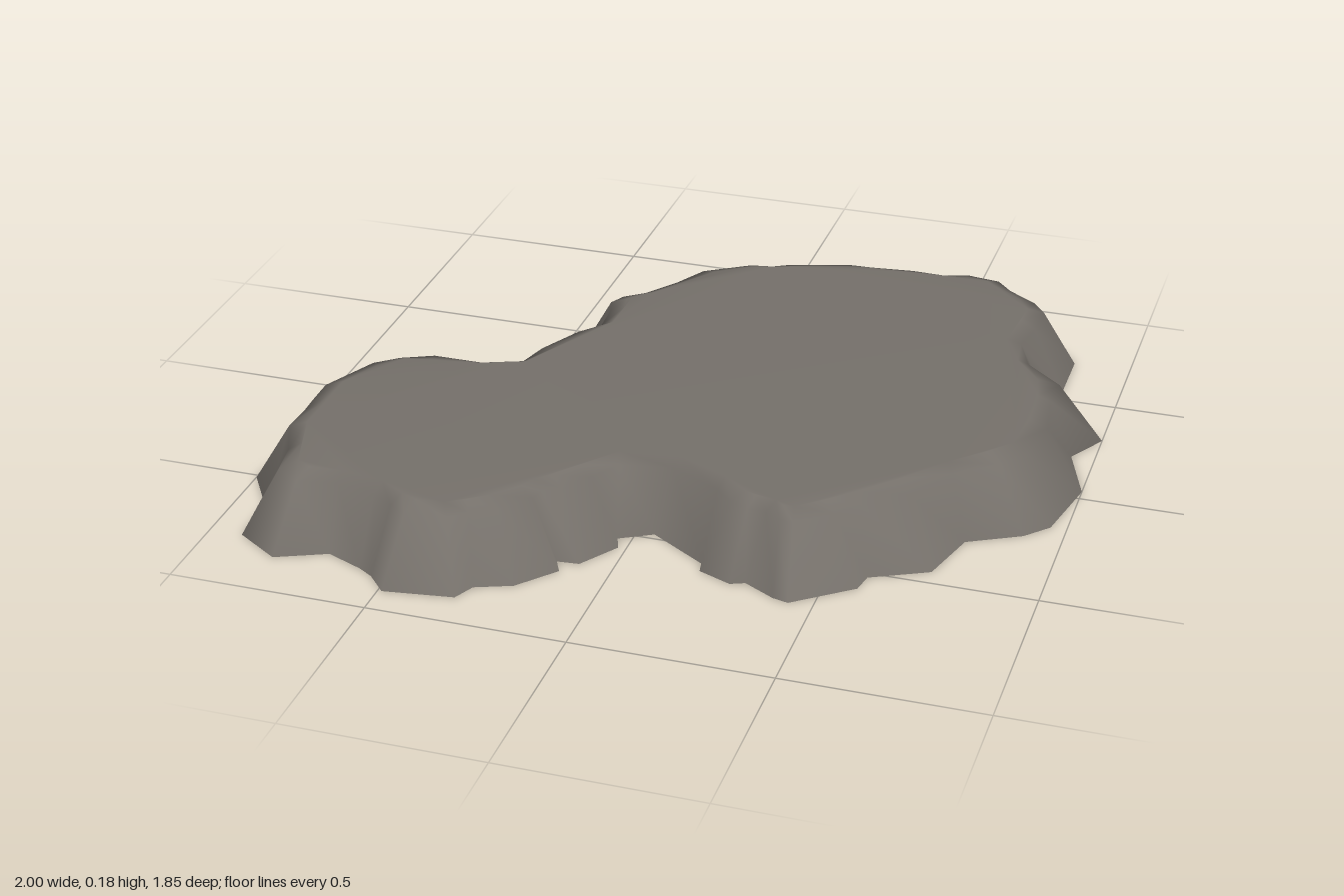
import * as THREE from 'three';

// Ground outline as x, z pairs, clockwise seen from above
const OUTLINE = [
  -1, .29, -.89, .05, -.83, .03, -.72, -.05, -.57, -.02, -.5, -.05, -.535, -.09,
  -.45, -.255, -.405, -.255, -.42, -.345, -.45, -.39, -.405, -.485, -.355, -.5,
  -.28, -.6, -.26, -.7, -.085, -.805, -.03, -.795, -.005, -.825, .065, -.84,
  .2, -.89, .235, -.875, .375, -.905, .465, -.88, .51, -.925, .665, -.9,
  .68, -.84, .81, -.76, .85, -.715, .85, -.54, .815, -.5, .83, -.4,
  1, -.31, .94, -.205, 1, -.035, .96, .16, .905, .22, .775, .29,
  .73, .45, .59, .52, .58, .575, .44, .685, .4, .675, .32, .63,
  .285, .645, .2, .61, .2, .58, .045, .48, -.035, .525, -.02, .565,
  -.085, .665, -.14, .67, -.12, .71, -.2, .805, -.29, .84, -.315, .895,
  -.49, .92, -.54, .865, -.58, .84, -.675, .8, -.8, .855, -.915, .78,
  -.91, .65, -1, .51, -.97, .435, -.975, .34,
];

// Height, inset and amount of outline smoothing of each ring
const RINGS = [
  { y: 0, inset: 0, smooth: 0 },
  { y: .163, inset: .08, smooth: .35 },
  { y: .18, inset: .12, smooth: .5 },
];

function ringPoints(base, { inset, smooth }) {
  const n = base.length;
  const at = (i) => base[(i + n) % n];
  return base.map((p, i) => {
    const middle = at(i - 1).clone().add(at(i + 1)).multiplyScalar(.5);
    // Tangent over a wide span keeps small notches from crossing
    const t = at(i + 2).clone().sub(at(i - 2)).add(at(i + 1)).sub(at(i - 1)).normalize();
    return p.clone().lerp(middle, smooth).add(new THREE.Vector2(-t.y, t.x).multiplyScalar(inset));
  });
}

function slabGeometry() {
  const base = [];
  for (let i = 0; i < OUTLINE.length; i += 2) base.push(new THREE.Vector2(OUTLINE[i], OUTLINE[i + 1]));
  const n = base.length;
  const rings = RINGS.map((r) => ringPoints(base, r));
  const positions = [];
  const index = [];
  rings.forEach((ring, k) => ring.forEach((p) => positions.push(p.x, RINGS[k].y, p.y)));

  // Sloping wall and rounded rim
  for (let k = 0; k < rings.length - 1; k++) {
    for (let i = 0; i < n; i++) {
      const a = k * n + i;
      const b = k * n + (i + 1) % n;
      index.push(a, a + n, b + n, a, b + n, b);
    }
  }

  // Flat top, the underside stays open
  const start = (rings.length - 1) * n;
  for (const [a, b, c] of THREE.ShapeUtils.triangulateShape(rings[rings.length - 1], [])) {
    index.push(start + a, start + c, start + b);
  }

  const geometry = new THREE.BufferGeometry();
  geometry.setAttribute('position', new THREE.Float32BufferAttribute(positions, 3));
  geometry.setIndex(index);
  geometry.computeVertexNormals();
  return geometry;
}

export function createModel() {
  const stone = new THREE.MeshStandardMaterial({ color: 0x76716b, side: THREE.DoubleSide });
  stone.name = 'stone grey';
  const slab = new THREE.Mesh(slabGeometry(), stone);
  slab.name = 'rockSlab';
  const group = new THREE.Group();
  group.name = 'rockPlatform';
  group.add(slab);
  return group;
}
